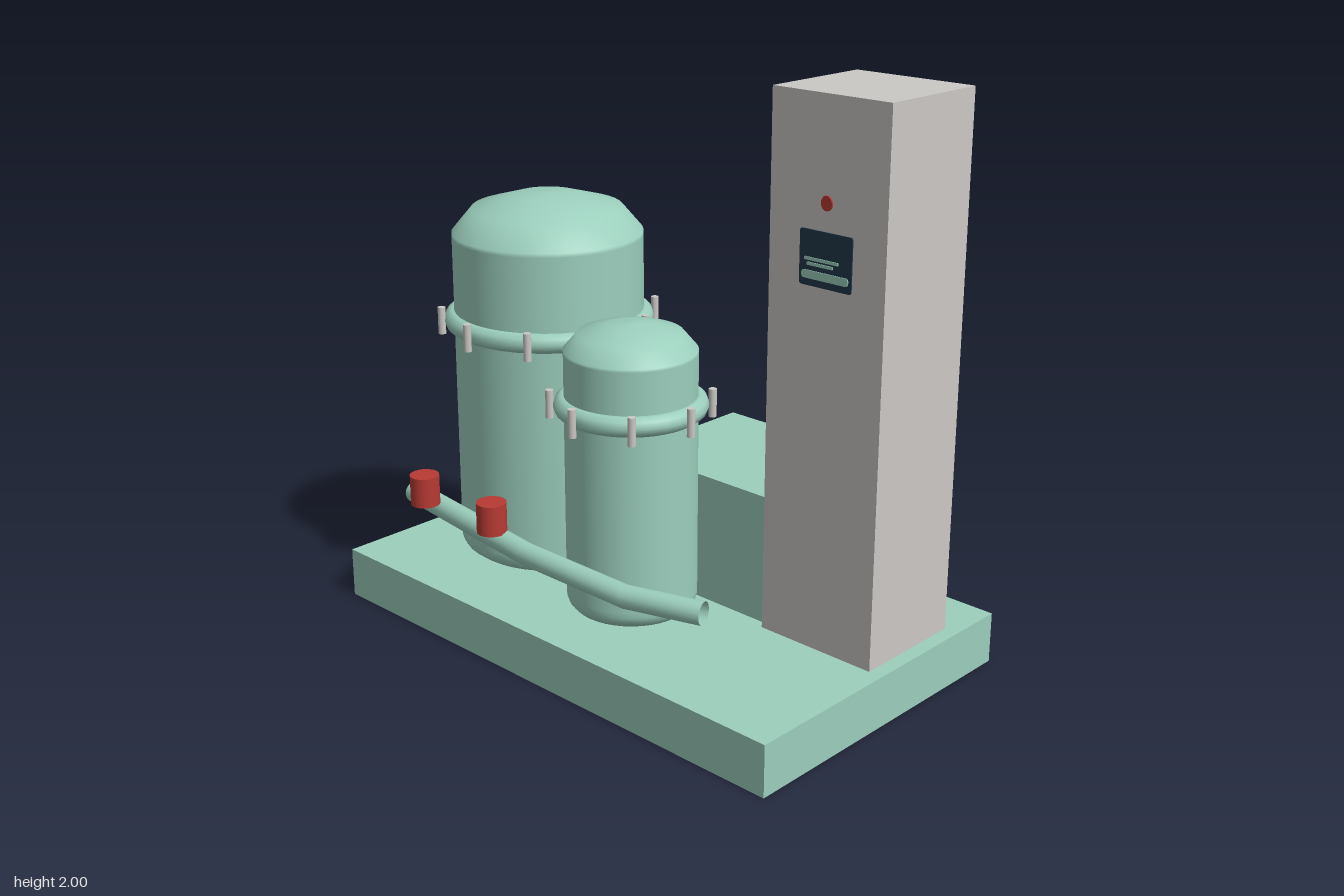
import * as THREE from 'three';

const mat = (name, color, side = THREE.FrontSide) => {
  const m = new THREE.MeshStandardMaterial({ color, side });
  m.name = name;
  return m;
};

// Polyline with mitred bends, for a tube that keeps its straight runs
class Polyline extends THREE.Curve {
  constructor(points) {
    super();
    this.points = points;
  }
  getPoint(t, target = new THREE.Vector3()) {
    const n = this.points.length - 1;
    const i = Math.min(Math.floor(t * n + 1e-6), n - 1);
    return target.lerpVectors(this.points[i], this.points[i + 1], t * n - i);
  }
  getPointAt(u, target) {
    return this.getPoint(u, target);
  }
  getTangentAt(u, target = new THREE.Vector3()) {
    const n = this.points.length - 1;
    const i = Math.round(u * n);
    const p = this.points;
    target.set(0, 0, 0);
    if (i > 0) target.add(p[i].clone().sub(p[i - 1]).normalize());
    if (i < n) target.add(p[i + 1].clone().sub(p[i]).normalize());
    return target.normalize();
  }
}

export function createModel() {
  const green = mat('paleGreen', 0x9ccfbd, THREE.DoubleSide);
  const grey = mat('lightGrey', 0xcbc8c5);
  const red = mat('red', 0xb83a34);
  const navy = mat('navy', 0x22384a);

  const model = new THREE.Group();
  model.name = 'filterStation';

  const add = (parent, name, geometry, material, x = 0, y = 0, z = 0) => {
    const mesh = new THREE.Mesh(geometry, material);
    mesh.name = name;
    mesh.position.set(x, y, z);
    parent.add(mesh);
    return mesh;
  };
  // Box given by its limits on each axis
  const box = (name, material, [x0, x1], [y0, y1], [z0, z1]) =>
    add(model, name, new THREE.BoxGeometry(x1 - x0, y1 - y0, z1 - z0), material,
      (x0 + x1) / 2, (y0 + y1) / 2, (z0 + z1) / 2);

  const floor = 0.18;
  box('basePlinth', green, [-1, 1], [0, floor], [-0.595, 0.595]);
  box('controlCabinet', grey, [0.5, 0.95], [floor, 2], [-0.39, 0.025]);
  box('pumpHousing', green, [-0.14, 0.5], [floor, 0.635], [-0.545, -0.005]);

  // Domed pressure vessel with a flange ring and clamp bolts
  const vessel = (name, x, z, r, top, flangeY, boltRing, bolts) => {
    const g = new THREE.Group();
    g.name = name;
    g.position.set(x, 0, z);
    model.add(g);
    const k = r / 0.34;
    const profile = [
      [0, floor + 0.001], [r - 0.035 * k, floor + 0.001], [r - 0.01 * k, floor + 0.02], [r, floor + 0.04],
      [r, floor + 0.06], [r, top - 0.15 * k], [r, top - 0.135 * k],
      [0.79 * r, top - 0.05 * k], [0.34 * r, top - 0.005], [0, top],
    ].map(([a, b]) => new THREE.Vector2(a, b));
    add(g, 'tank', new THREE.LatheGeometry(profile, 40), green);
    const ring = add(g, 'flange', new THREE.TorusGeometry(r, 0.036, 10, 40), green, 0, flangeY, 0);
    ring.rotation.x = Math.PI / 2;
    const boltGeometry = new THREE.CylinderGeometry(0.014, 0.014, 0.098, 12);
    for (let i = 0; i < bolts; i++) {
      const a = (i / bolts) * Math.PI * 2;
      add(g, 'clampBolt', boltGeometry, grey, Math.sin(a) * boltRing, flangeY, Math.cos(a) * boltRing);
    }
  };
  vessel('largeVessel', -0.547, 0, 0.34, 1.5, 1.05, 0.385, 10);
  vessel('smallVessel', 0.043, 0.18, 0.225, 1.185, 0.905, 0.272, 8);

  // Open pipe along the front
  const path = new Polyline([[-0.91, 0.362], [-0.2, 0.45], [0.28, 0.45], [0.545, 0.365]]
    .map(([x, z]) => new THREE.Vector3(x, 0.368, z)));
  add(model, 'pipe', new THREE.TubeGeometry(path, 3, 0.04, 16), green);

  // Valve caps
  for (const x of [-0.73, -0.367]) {
    add(model, 'valve', new THREE.CylinderGeometry(0.053, 0.053, 0.11, 24), red, x, 0.457, 0.455);
  }

  // Cabinet display with plain bars, and the round indicator
  const face = 0.025;
  const plate = (name, material, x0, x1, y0, y1, z, r) => {
    const s = new THREE.Shape();
    s.moveTo(x0 + r, y0);
    s.lineTo(x1 - r, y0).quadraticCurveTo(x1, y0, x1, y0 + r);
    s.lineTo(x1, y1 - r).quadraticCurveTo(x1, y1, x1 - r, y1);
    s.lineTo(x0 + r, y1).quadraticCurveTo(x0, y1, x0, y1 - r);
    s.lineTo(x0, y0 + r).quadraticCurveTo(x0, y0, x0 + r, y0);
    add(model, name, new THREE.ExtrudeGeometry(s, { depth: 0.004, bevelEnabled: false }), material, 0, 0, z);
  };
  plate('display', navy, 0.624, 0.826, 1.403, 1.58, face, 0.01);
  plate('displayBar', green, 0.635, 0.815, 1.426, 1.452, face + 0.003, 0.01);
  plate('displayBar', green, 0.655, 0.755, 1.468, 1.478, face + 0.003, 0.002);
  plate('displayBar', green, 0.645, 0.775, 1.484, 1.494, face + 0.003, 0.002);

  const lamp = add(model, 'indicatorLamp', new THREE.CylinderGeometry(0.024, 0.024, 0.006, 20), red, 0.724, 1.67, face + 0.003);
  lamp.rotation.x = Math.PI / 2;
  lamp.scale.x = 0.88;

  return model;
}
